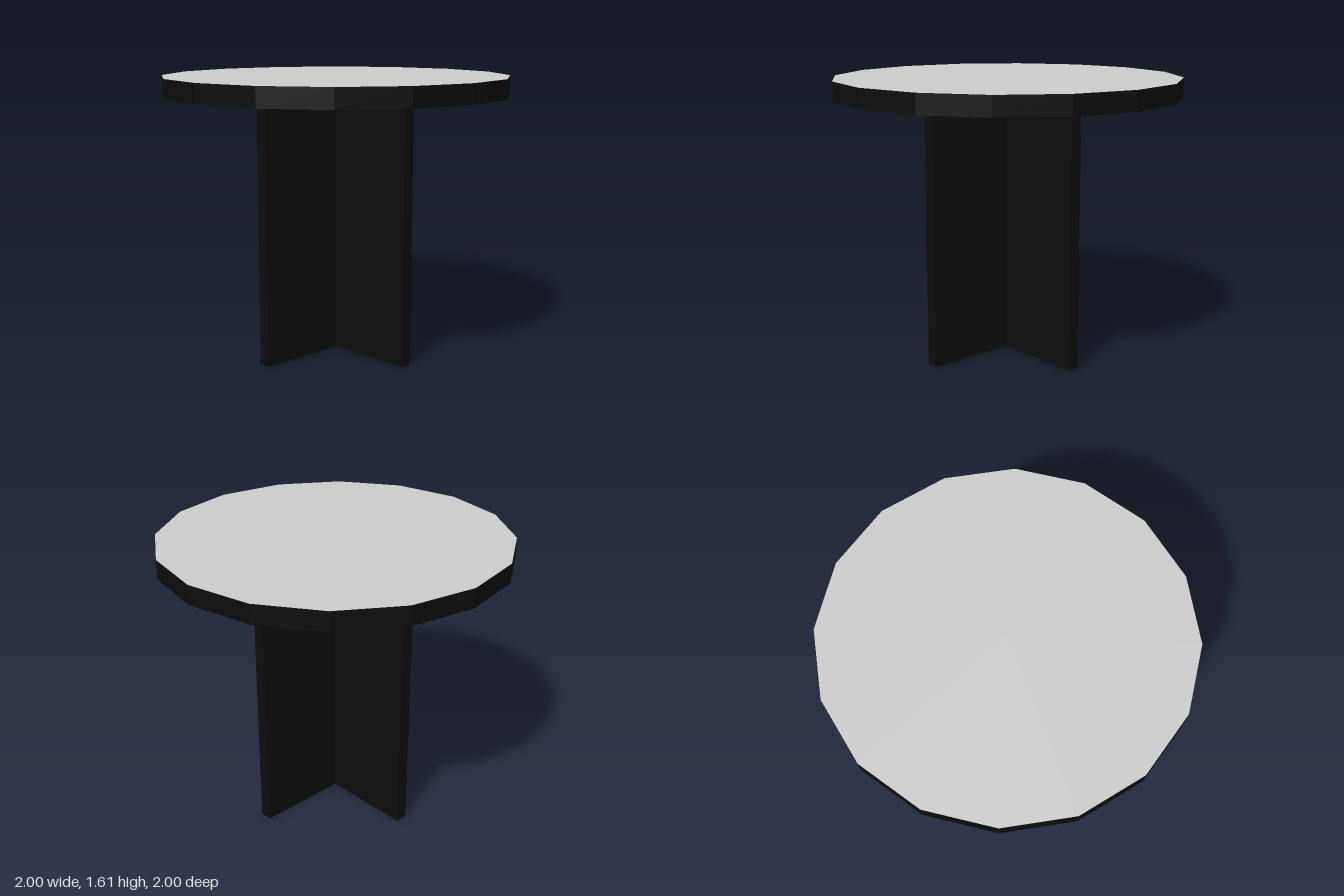
import * as THREE from 'three';

export function createModel() {
  const group = new THREE.Group();
  const grey = new THREE.MeshStandardMaterial({ color: 0xcccccc, flatShading: true });
  const black = new THREE.MeshStandardMaterial({ color: 0x0d0d0d, flatShading: true });

  const height = 1.61, slab = 0.11, legHeight = height - slab;
  const legWidth = 1.13, legThickness = 0.07;

  // Sixteen-sided top: black rim, grey upper and lower faces
  const top = new THREE.Mesh(new THREE.CylinderGeometry(1, 1, slab, 16), [black, grey, grey]);
  top.name = 'tableTop';
  top.position.y = height - slab / 2;
  group.add(top);

  // Two upright panels crossing at the centre
  ['legPanelAcross', 'legPanelDeep'].forEach((name, i) => {
    const panel = new THREE.Mesh(new THREE.BoxGeometry(legWidth, legHeight, legThickness), black);
    panel.name = name;
    panel.position.y = legHeight / 2;
    panel.rotation.y = i * Math.PI / 2;
    group.add(panel);
  });

  return group;
}
